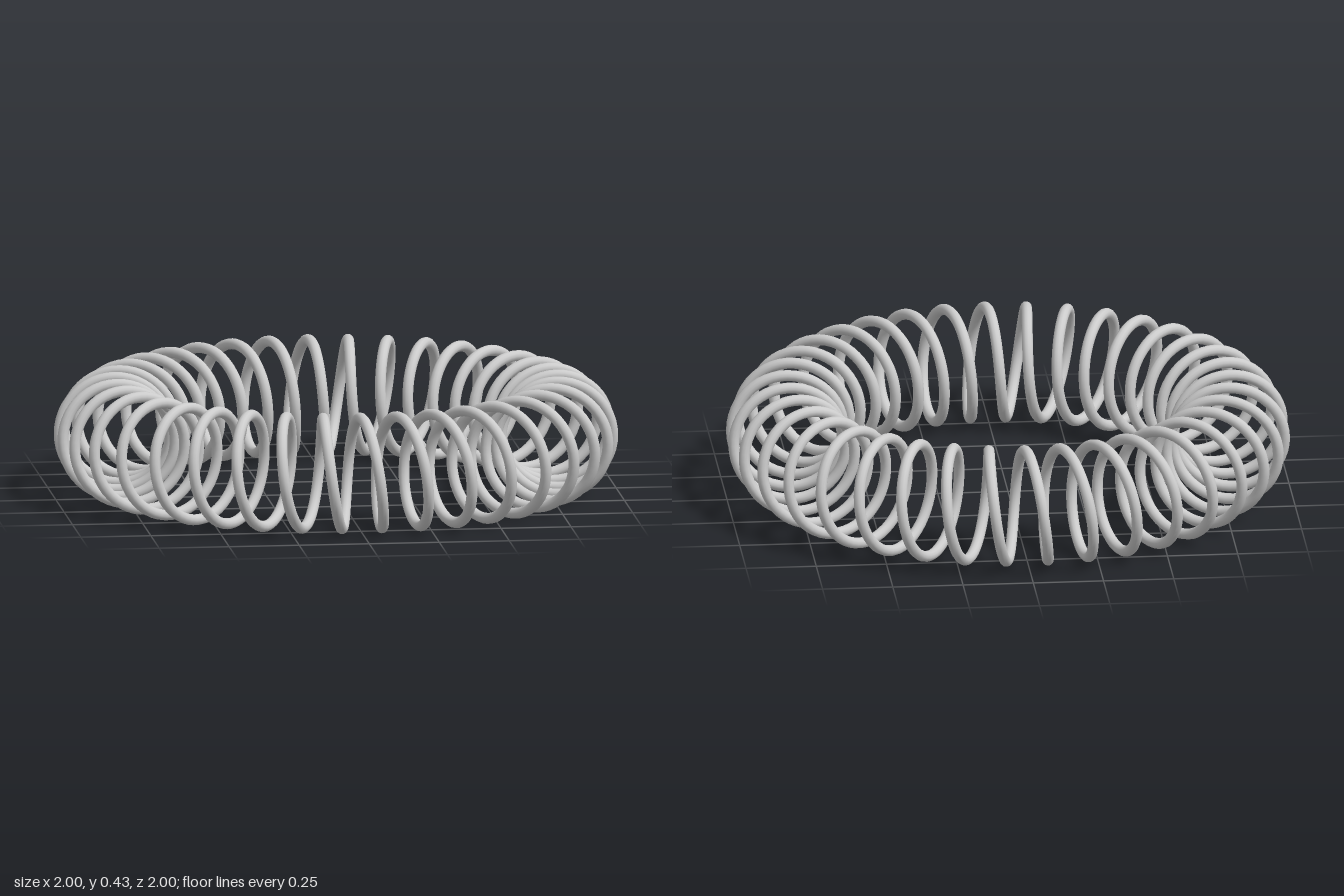
import * as THREE from 'three';

const TURNS = 36;          // windings around the ring
const RING_RADIUS = 0.785; // centre line of the ring
const COIL_RADIUS = 0.196; // radius of each winding
const WIRE_RADIUS = 0.0196;

// Closed helix wound around a horizontal ring, starting at the top of the front
class RingCoilCurve extends THREE.Curve {
  constructor() {
    super();
    this.arcLengthDivisions = TURNS * 200;
  }

  getPoint(t, target = new THREE.Vector3()) {
    const around = t * Math.PI * 2;
    const wind = around * TURNS;
    const radius = RING_RADIUS + COIL_RADIUS * Math.sin(wind);
    return target.set(
      radius * Math.sin(around),
      COIL_RADIUS + WIRE_RADIUS + COIL_RADIUS * Math.cos(wind),
      radius * Math.cos(around)
    );
  }
}

export function createModel() {
  const group = new THREE.Group();
  group.name = 'ringSpring';

  // One continuous round wire
  const wire = new THREE.Mesh(
    new THREE.TubeGeometry(new RingCoilCurve(), TURNS * 48, WIRE_RADIUS, 12, true),
    new THREE.MeshStandardMaterial({ color: 0xcccccc })
  );
  wire.name = 'coiledWire';
  group.add(wire);

  return group;
}
